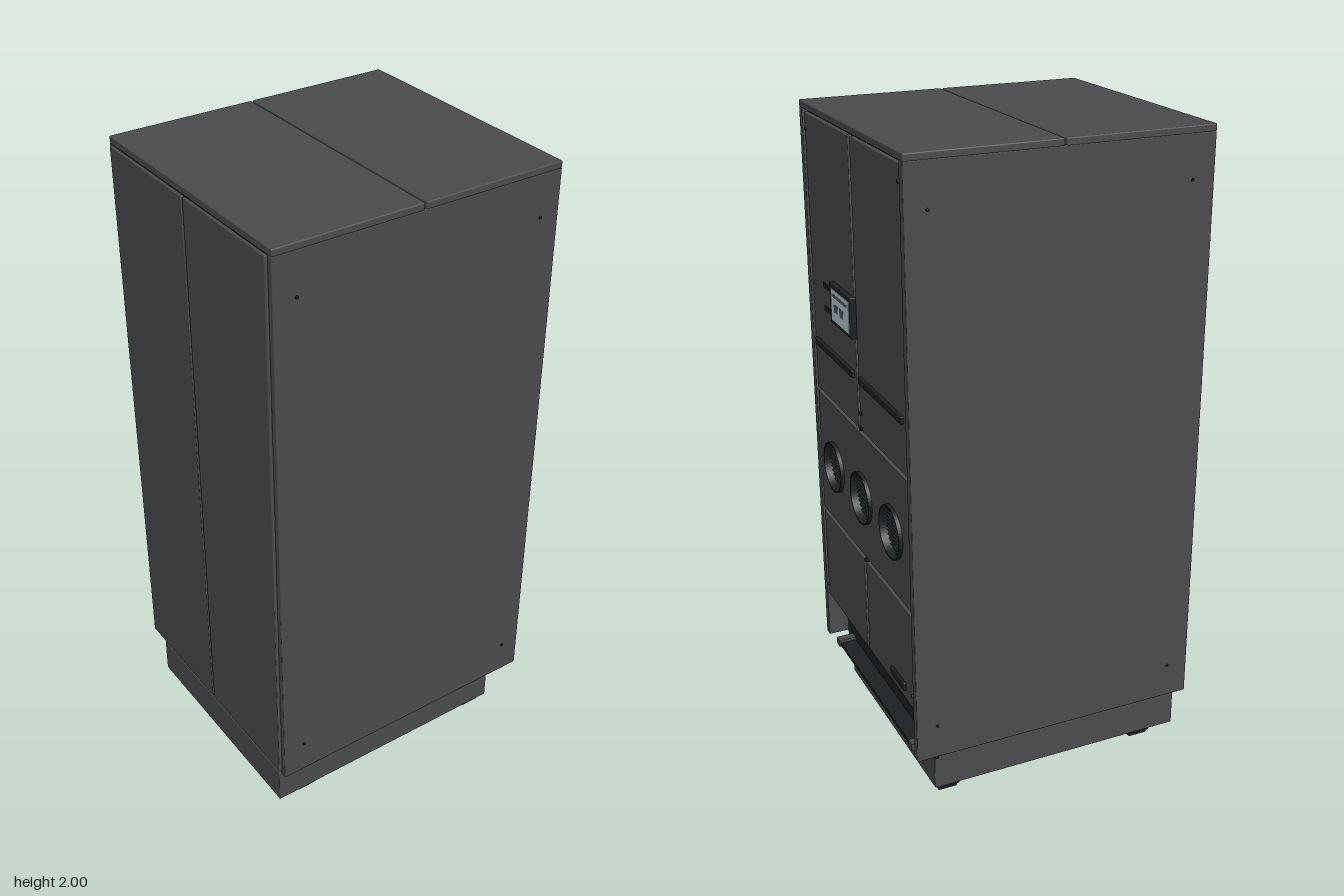
import * as THREE from 'three';
import { RoundedBoxGeometry } from 'three/addons/geometries/RoundedBoxGeometry.js';

const mat = (color) => new THREE.MeshStandardMaterial({ color });

export function createModel() {
  const root = new THREE.Group();
  const shell = mat(0x4a4b4d), dark = mat(0x1c2022), glass = mat(0xb9cdd0), ink = mat(0x4a5a62);
  const tubeMat = mat(0x6a6e70);
  tubeMat.side = THREE.DoubleSide;

  const add = (name, geometry, material, parent = root) => {
    const mesh = new THREE.Mesh(geometry, material);
    mesh.name = name;
    parent.add(mesh);
    return mesh;
  };

  // Box given by its limits; a radius rounds the edges
  const box = (name, [x0, x1], [y0, y1], [z0, z1], material, radius = 0) => {
    const size = [x1 - x0, y1 - y0, z1 - z0];
    const geometry = radius ? new RoundedBoxGeometry(...size, 2, radius) : new THREE.BoxGeometry(...size);
    const mesh = add(name, geometry, material);
    mesh.position.set((x0 + x1) / 2, (y0 + y1) / 2, (z0 + z1) / 2);
    return mesh;
  };

  // Vent openings across the middle panel
  const ventZ = [0.25, 0, -0.25], ventY = 0.87, ventR = 0.083;

  // Plate facing +x, pierced by the three vent openings
  const ventPlate = (name, [x0, x1], [y0, y1], [z0, z1], material) => {
    const shape = new THREE.Shape();
    shape.moveTo(-z1, y0).lineTo(-z0, y0).lineTo(-z0, y1).lineTo(-z1, y1).closePath();
    for (const z of ventZ) shape.holes.push(new THREE.Path().absarc(-z, ventY, ventR, 0, Math.PI * 2, true));
    const geometry = new THREE.ExtrudeGeometry(shape, { depth: x1 - x0, bevelEnabled: false, curveSegments: 32 });
    add(name, geometry.rotateY(Math.PI / 2).translate(x0, 0, 0), material);
  };

  // Inner body and its front frame, which shows dark in the seams
  box('innerBody', [-0.464, 0.385], [0.182, 1.982], [-0.392, 0.392], dark);
  ventPlate('frontFrame', [0.385, 0.443], [0.34, 1.982], [-0.392, 0.392], dark);

  // Side panels with their corner screws
  for (const s of [1, -1]) {
    box('sidePanel', [-0.465, 0.46], [0.18, 1.98], [s * 0.405 - 0.0145, s * 0.405 + 0.0145], shell, 0.003);
    for (const x of [-0.395, 0.395]) for (const y of [0.29, 1.85]) {
      const screw = add('sideScrew', new THREE.CylinderGeometry(0.005, 0.005, 0.004, 12), dark);
      screw.rotation.x = Math.PI / 2;
      screw.position.set(x, y, s * 0.4205);
    }
  }

  // Top and back, each in two leaves
  box('topPanel', [-0.465, -0.003], [1.978, 2], [-0.42, 0.42], shell, 0.004);
  box('topPanel', [0.003, 0.46], [1.978, 2], [-0.42, 0.42], shell, 0.004);
  for (const s of [1, -1]) {
    const z = s > 0 ? [0.003, 0.402] : [-0.402, -0.003];
    box('backPanel', [-0.475, -0.464], [0.195, 1.978], z, shell, 0.003);
  }

  // Doors, handle strips and door screws
  const doorX = [0.44, 0.455];
  for (const s of [1, -1]) {
    const span = (a, b) => (s > 0 ? [a, b] : [-b, -a]);
    box('upperDoor', doorX, [1.096, 1.968], span(0.006, 0.388), shell, 0.003);
    box('lowerDoor', doorX, [0.342, 0.659], span(0.006, 0.388), shell, 0.003);
    box('handleStrip', [0.45, 0.465], [1.25, 1.273], span(0.027, 0.366), dark, 0.003);
    for (const y of [0.385, 1.92]) {
      const screw = add('doorScrew', new THREE.CylinderGeometry(0.005, 0.005, 0.006, 12), dark);
      screw.rotation.z = Math.PI / 2;
      screw.position.set(0.456, y, s * 0.375);
    }
  }
  ventPlate('middlePanel', doorX, [0.672, 1.083], [-0.388, 0.388], shell);
  box('lowerHandle', [0.45, 0.464], [0.374, 0.4], [-0.325, -0.215], dark, 0.003);
  for (const y of [1.395, 1.468]) box('indicator', [0.45, 0.459], [y - 0.007, y + 0.007], [0.23, 0.273], dark);
  for (const y of [1.105, 1.155, 0.668]) box('doorCatch', [0.44, 0.463], [y - 0.005, y + 0.005], [-0.025, -0.015], dark);

  // Round vents: rim, bore and a stack of slats
  for (const z of ventZ) {
    const vent = new THREE.Group();
    vent.name = 'roundVent';
    vent.position.set(0, ventY, z);
    root.add(vent);
    const rim = new THREE.Shape().absarc(0, 0, ventR, 0, Math.PI * 2);
    rim.holes.push(new THREE.Path().absarc(0, 0, ventR - 0.005, 0, Math.PI * 2, true));
    const rimGeo = new THREE.ExtrudeGeometry(rim, { depth: 0.026, bevelEnabled: false, curveSegments: 32 });
    add('ventRim', rimGeo.rotateY(Math.PI / 2).translate(0.441, 0, 0), dark, vent);
    const bore = add('ventBore', new THREE.CylinderGeometry(ventR - 0.001, ventR - 0.001, 0.056, 40, 1, true), tubeMat, vent);
    bore.rotation.z = Math.PI / 2;
    bore.position.x = 0.413;
    for (let i = -6; i <= 6; i++) {
      const y = i * 0.012;
      const width = 2 * Math.sqrt((ventR - 0.005) ** 2 - y * y);
      const slat = add('ventSlat', new THREE.BoxGeometry(0.018, 0.004, width), dark, vent);
      slat.position.set(0.437, y, 0);
      slat.rotation.z = -0.5;
    }
  }

  // Display: bezel, screen and simple readout blocks
  box('displayBezel', [0.45, 0.47], [1.378, 1.504], [0.001, 0.184], dark, 0.004);
  box('displayScreen', [0.465, 0.4715], [1.39, 1.489], [0.012, 0.168], glass);
  box('readoutBar', [0.47, 0.472], [1.466, 1.476], [0.025, 0.157], ink);
  for (const z of [0.077, 0.126]) box('readoutBlock', [0.47, 0.472], [1.421, 1.446], [z - 0.016, z + 0.016], ink);

  // Recessed kick plate with its lip and brackets
  box('kickPlate', [0.38, 0.392], [0.15, 0.342], [-0.39, 0.39], dark);
  box('kickLip', [0.365, 0.445], [0.17, 0.182], [-0.34, 0.34], dark);
  for (const z of [-0.33, 0.33]) box('lipBracket', [0.37, 0.45], [0.168, 0.192], [z - 0.014, z + 0.014], shell);

  // Plinth and feet
  box('plinth', [-0.455, 0.385], [0.028, 0.15], [-0.368, 0.368], shell, 0.003);
  for (const x of [-0.34, 0.335]) for (const z of [-0.316, 0.316]) {
    box('footPad', [x - 0.037, x + 0.037], [0.012, 0.03], [z - 0.037, z + 0.037], dark);
    box('foot', [x - 0.031, x + 0.031], [0, 0.013], [z - 0.031, z + 0.031], dark);
  }
  return root;
}
